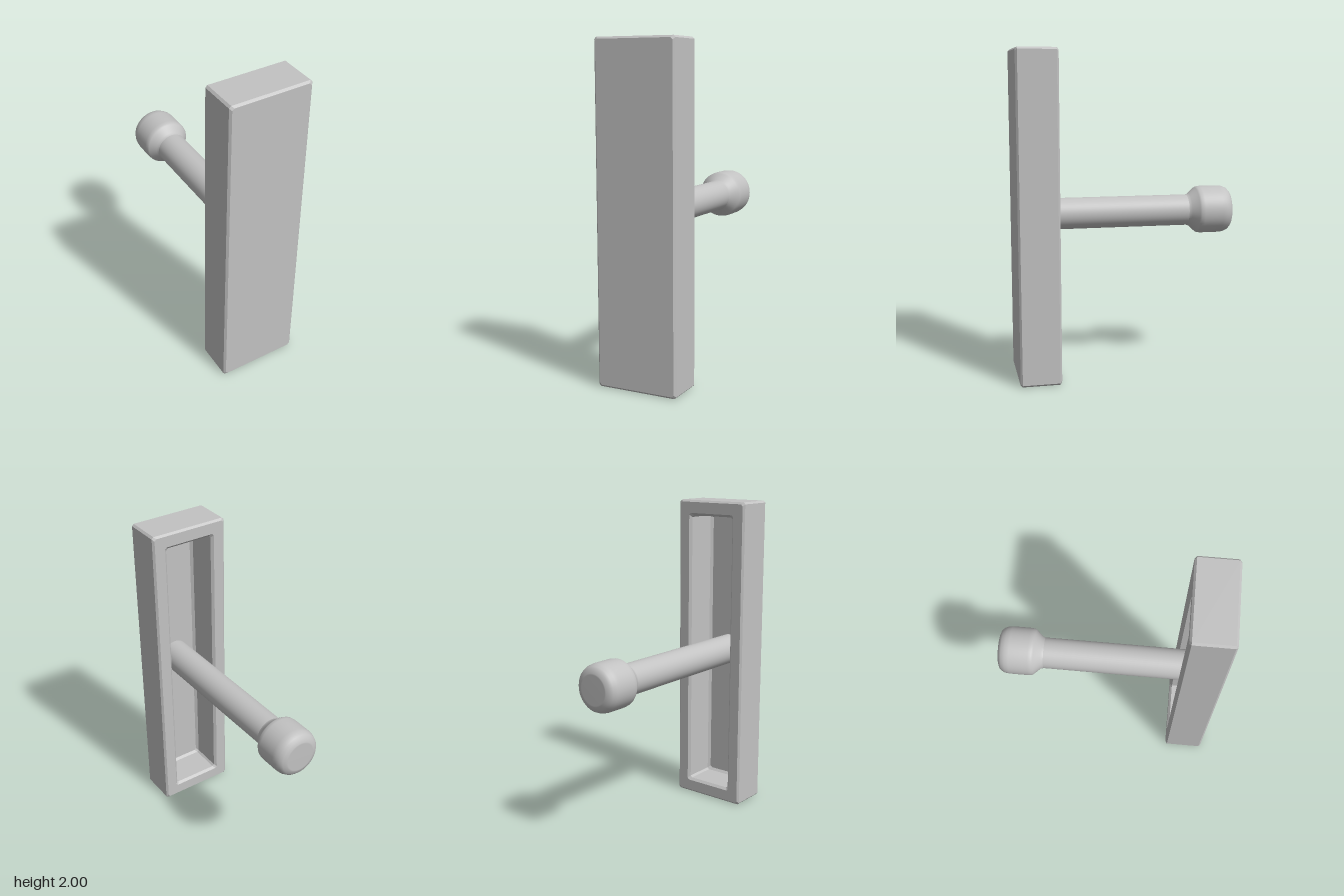
import * as THREE from 'three';

const grey = new THREE.MeshStandardMaterial({ color: 0xc2c2c2 });
grey.name = 'plain grey';

// Rectangle with small cut corners, counter-clockwise seen from the front
function ring([hw, hh, z], cut = 0.012) {
  const a = hw - cut, b = hh - cut;
  return [[hw, -b], [hw, b], [a, hh], [-a, hh], [-hw, b], [-hw, -b], [-a, -hh], [a, -hh]]
    .map(([x, y]) => [x, y + 1, z]);
}

// Skin a list of rings from front to back, closing both ends
function loft(sections) {
  const rings = sections.map((s) => ring(s));
  const n = rings[0].length, pos = [];
  const tri = (...pts) => pts.forEach((p) => pos.push(...p));
  for (let i = 0; i < rings.length - 1; i++) {
    for (let j = 0; j < n; j++) {
      const k = (j + 1) % n;
      const a = rings[i][j], b = rings[i][k], c = rings[i + 1][k], d = rings[i + 1][j];
      tri(a, d, c);
      tri(a, c, b);
    }
  }
  const first = rings[0], last = rings[rings.length - 1];
  for (let j = 1; j < n - 1; j++) {
    tri(first[0], first[j], first[j + 1]);
    tri(last[0], last[j + 1], last[j]);
  }
  const g = new THREE.BufferGeometry();
  g.setAttribute('position', new THREE.Float32BufferAttribute(pos, 3));
  g.computeVertexNormals();
  return g;
}

// Turned part whose axis points to the back; points are [radius, z]
function turned(points) {
  const g = new THREE.LatheGeometry(points.map(([r, z]) => new THREE.Vector2(r, -z)), 48);
  g.rotateX(-Math.PI / 2);
  g.translate(-0.002, 1.005, 0);
  return g;
}

export function createModel() {
  const group = new THREE.Group();
  const add = (name, geometry) => {
    const mesh = new THREE.Mesh(geometry, grey);
    mesh.name = name;
    group.add(mesh);
  };

  // Hollow bevelled block, open at the back: half width, half height, z
  add('hollowBlock', loft([
    [0.24, 0.988, 0.68],
    [0.252, 1, 0.668],
    [0.252, 1, 0.442],
    [0.24, 0.988, 0.43],
    [0.172, 0.918, 0.43],
    [0.157, 0.903, 0.445],
    [0.157, 0.903, 0.645],
    [0.142, 0.888, 0.66],
  ]));

  // Round shaft, rooted in the floor of the block
  add('shaft', turned([[0.096, 0.665], [0.096, -0.42]]));

  // Knob with a flared neck and a rounded end
  add('knob', turned([
    [0.096, -0.40], [0.102, -0.418], [0.138, -0.457], [0.145, -0.468], [0.148, -0.49],
    [0.148, -0.606], [0.145, -0.632], [0.135, -0.656], [0.12, -0.671], [0.098, -0.679],
    [0.09, -0.68], [0, -0.68],
  ]));

  return group;
}
